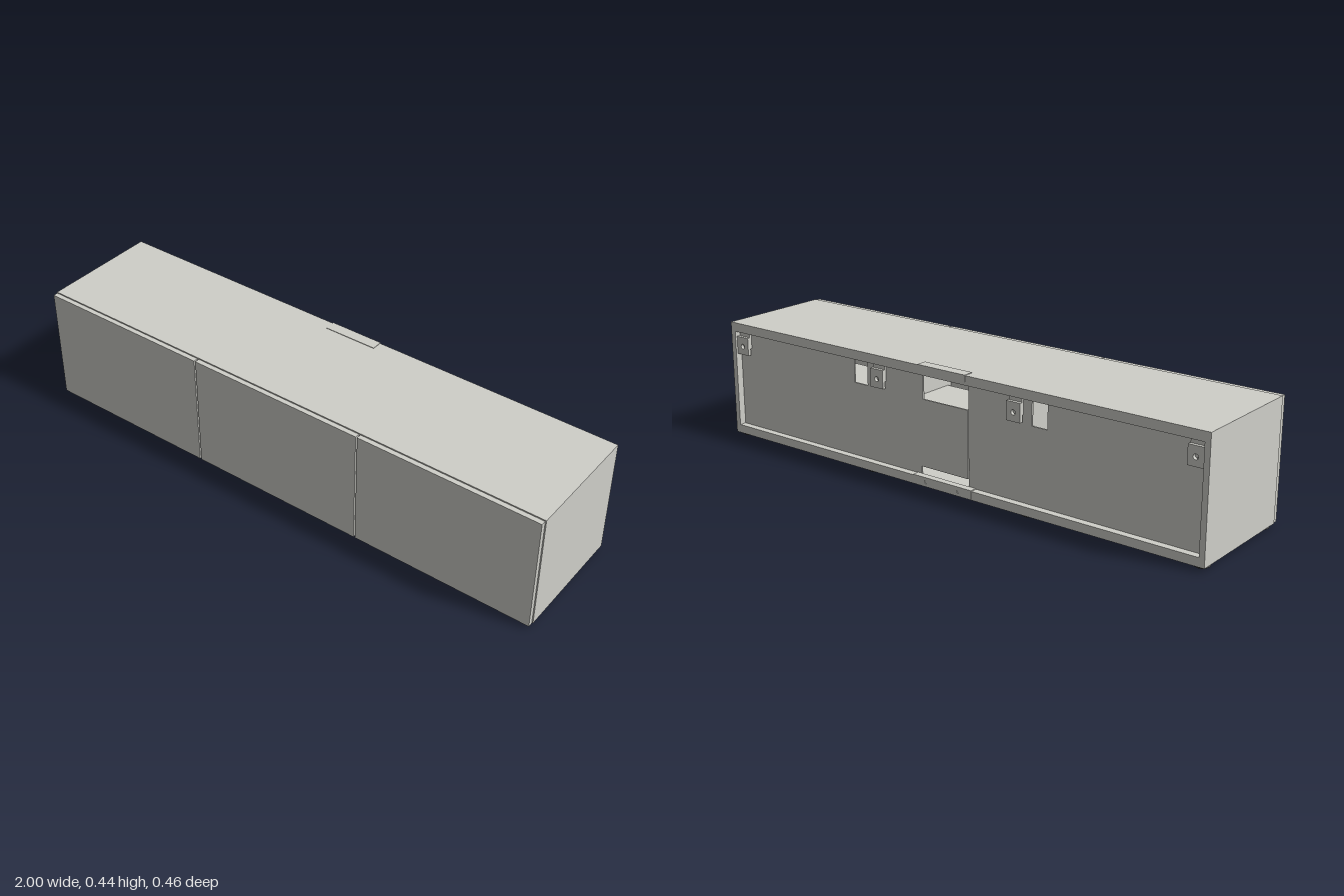
import * as THREE from 'three';

export function createModel() {
  const model = new THREE.Group();
  const panelMat = new THREE.MeshStandardMaterial({ color: 0xcfcfc9 });
  panelMat.name = 'light grey panel';
  const footMat = new THREE.MeshStandardMaterial({ color: 0x5a5a5a });
  footMat.name = 'dark grey plastic';

  const add = (name, geo, mat = panelMat, parent = model) => {
    const mesh = new THREE.Mesh(geo, mat);
    mesh.name = name;
    parent.add(mesh);
    return mesh;
  };
  // Box given by its minimum and maximum on each axis
  const box = (name, x0, x1, y0, y1, z0, z1, mat, parent) => {
    const geo = new THREE.BoxGeometry(x1 - x0, y1 - y0, z1 - z0);
    geo.translate((x0 + x1) / 2, (y0 + y1) / 2, (z0 + z1) / 2);
    return add(name, geo, mat, parent);
  };
  // Flat sheet cut from an outline, with round holes [x, y, radius]
  const sheet = (name, points, z, depth, holes = [], parent = model) => {
    const shape = new THREE.Shape(points.map(([x, y]) => new THREE.Vector2(x, y)));
    for (const [x, y, r] of holes) {
      shape.holes.push(new THREE.Path().absarc(x, y, r, 0, Math.PI * 2, true));
    }
    const geo = new THREE.ExtrudeGeometry(shape, { depth, bevelEnabled: false, curveSegments: 8 });
    geo.translate(0, 0, z);
    return add(name, geo, panelMat, parent);
  };
  const rect = (x0, x1, y0, y1) => [[x0, y0], [x1, y0], [x1, y1], [x0, y1]];

  // Carcass
  const back = -0.228, front = 0.21;
  box('topPanel', -1, 1, 0.403, 0.436, back, front);
  box('bottomPanel', -1, 1, 0.012, 0.043, back, front);
  for (const s of [-1, 1]) {
    box('sidePanel', s * 0.99 - 0.01, s * 0.99 + 0.01, 0.043, 0.403, back, front);
    box('divider', s * 0.333 - 0.013, s * 0.333 + 0.013, 0.043, 0.403, -0.195, front);
  }

  // Three compartments: shelf and door, with hinges behind the door
  for (const i of [-1, 0, 1]) {
    const x = i * 0.6665;
    box('shelf', x - 0.318, x + 0.318, 0.205, 0.222, -0.195, 0.19);
    box('door', x - 0.3305, x + 0.3305, 0.012, 0.434, 0.2125, 0.23);
    for (const y of [0.1, 0.35]) {
      box('hinge', x - 0.315, x - 0.27, y - 0.03, y + 0.03, 0.18, 0.2125);
    }
  }

  // Recessed back sheets with cable notches, meeting at a seam
  const y0 = 0.043, y1 = 0.403, notch = 0.31;
  sheet('backSheet', [
    [-0.094, y0], [-0.094, y1], [-0.35, y1], [-0.35, notch], [-0.41, notch],
    [-0.41, y1], [-0.98, y1], [-0.98, y0],
  ], -0.202, 0.006);
  sheet('backSheet', [
    [-0.091, 0.07], [0.11, 0.07], [0.11, y0], [0.98, y0], [0.98, y1], [0.41, y1],
    [0.41, notch], [0.35, notch], [0.35, y1], [0.1, y1], [0.1, notch], [-0.091, notch],
  ], -0.202, 0.006);

  // Wall brackets
  for (const x of [-0.95, -0.29, 0.29, 0.95]) {
    const bracket = new THREE.Group();
    bracket.name = 'wallBracket';
    bracket.position.set(x, 0.354, 0);
    model.add(bracket);
    box('bracketBase', -0.026, 0.026, -0.012, 0.046, -0.21, -0.202, panelMat, bracket);
    sheet('bracketPlate', rect(-0.028, 0.028, -0.036, 0.03), -0.222, 0.012, [[0, -0.005, 0.009]], bracket);
  }

  // Joining plates on the middle of the top and bottom edges
  box('topJoiningPlate', -0.1, 0.1, 0.434, 0.438, -0.23, -0.19);
  box('topJoiningFlange', -0.1, 0.1, 0.414, 0.438, -0.23, -0.227);
  sheet('bottomJoiningFlange', rect(-0.125, 0.125, 0.014, 0.046), -0.23, 0.003,
    [[-0.07, 0.03, 0.006], [0.07, 0.03, 0.006]]);
  box('bottomJoiningPlate', -0.125, 0.125, 0.042, 0.046, -0.23, -0.204);

  // Feet
  for (const x of [-0.97, -0.333, 0.333, 0.97]) {
    for (const z of [-0.19, 0.18]) {
      add('footCollar', new THREE.CylinderGeometry(0.027, 0.027, 0.008, 20), footMat).position.set(x, 0.008, z);
      add('footPad', new THREE.CylinderGeometry(0.023, 0.021, 0.005, 20), footMat).position.set(x, 0.0025, z);
    }
  }
  return model;
}
